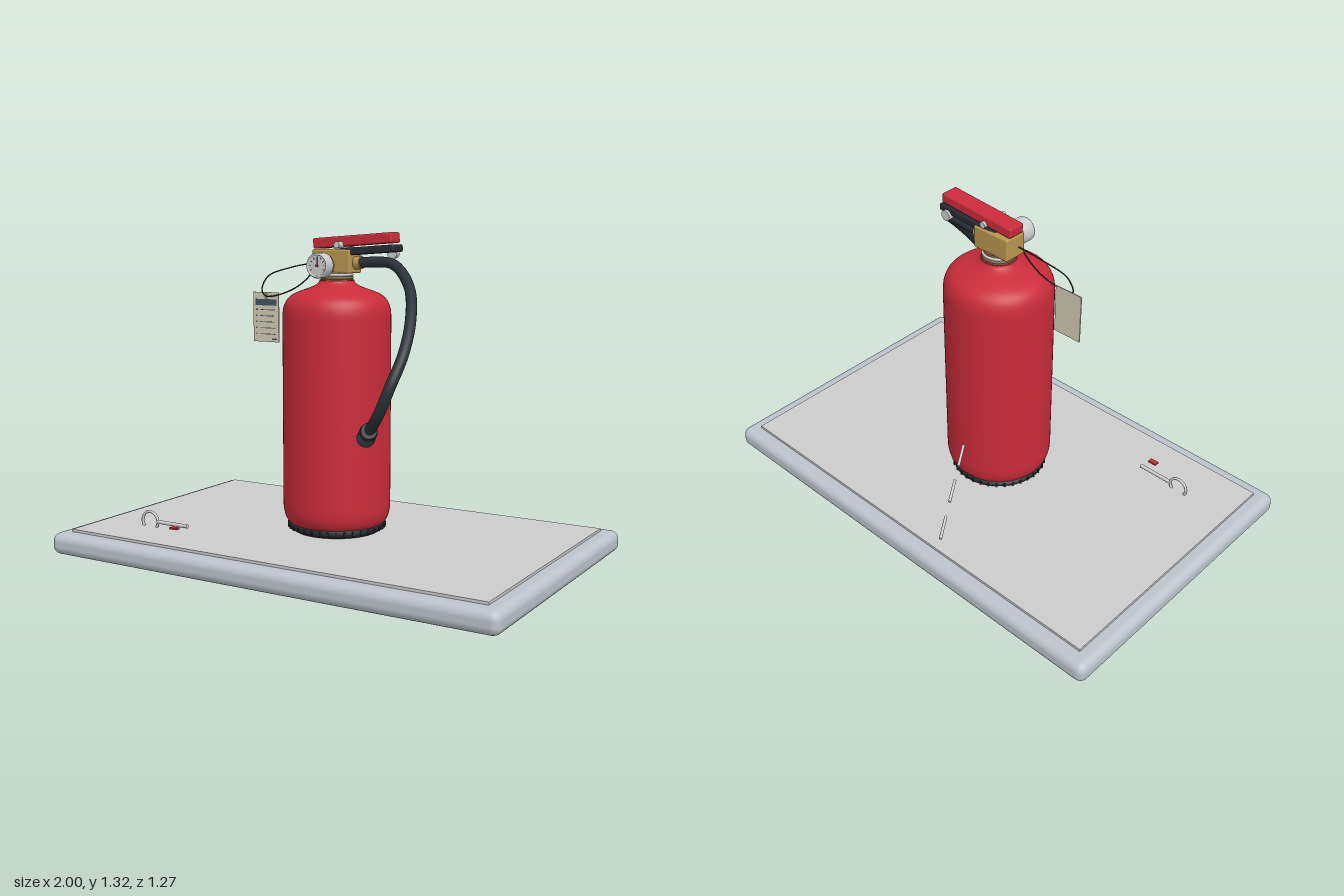
import * as THREE from 'three';
import { RoundedBoxGeometry } from 'three/addons/geometries/RoundedBoxGeometry.js';

const mat = (color) => new THREE.MeshStandardMaterial({ color });
const red = mat(0xc92c3a), black = mat(0x262b30), rubber = mat(0x2b3238), slate = mat(0x44525e);
const brass = mat(0xb8964f), darkBrass = mat(0x8a6a4a), steel = mat(0xcccccc), white = mat(0xeeeeee);
const stone = mat(0xbcc3cb), panelGrey = mat(0xc6caca), paper = mat(0xd3ccb4), seal = mat(0xc03038);
const V = (x, y, z) => new THREE.Vector3(x, y, z);

export function createModel() {
  const model = new THREE.Group();

  const add = (name, geo, material, x = 0, y = 0, z = 0, parent = model) => {
    const m = new THREE.Mesh(geo, material);
    m.name = name;
    m.position.set(x, y, z);
    parent.add(m);
    return m;
  };
  const box = (w, h, d, r) => r ? new RoundedBoxGeometry(w, h, d, 3, r) : new THREE.BoxGeometry(w, h, d);
  const lathe = (pts, n = 64) => new THREE.LatheGeometry(pts.map(([r, y]) => new THREE.Vector2(r, y)), n);
  const tube = (pts, r, n = 64, sides = 16) =>
    new THREE.TubeGeometry(new THREE.CatmullRomCurve3(pts.map((p) => V(...p))), n, r, sides);
  // Cylinder running between two points
  const rod = (name, a, b, ra, rb, material, parent = model) => {
    const dir = b.clone().sub(a);
    const m = add(name, new THREE.CylinderGeometry(rb, ra, dir.length(), 24), material, 0, 0, 0, parent);
    m.position.copy(a).add(b).multiplyScalar(0.5);
    m.quaternion.setFromUnitVectors(V(0, 1, 0), dir.normalize());
    return m;
  };

  // Plinth with inset top panel
  add('plinth', box(2, 0.09, 1.27, 0.035), stone, 0, 0.045, 0);
  add('plinthPanel', box(1.87, 0.02, 1.14), panelGrey, 0, 0.091, 0);

  // Ribbed foot ring
  add('footRing', lathe([[0, 0.1], [0.175, 0.104], [0.198, 0.118], [0.2, 0.14], [0.17, 0.145]]), black);
  const ribs = new THREE.Group();
  ribs.name = 'footRibs';
  model.add(ribs);
  for (let i = 0; i < 36; i++) {
    const a = (i / 36) * Math.PI * 2;
    add('footRib', box(0.008, 0.018, 0.008), black, 0.199 * Math.sin(a), 0.127, 0.199 * Math.cos(a), ribs).rotation.y = a;
  }

  // Tank: rounded lower edge, straight wall, domed shoulder and neck
  const outline = new THREE.Path();
  outline.moveTo(0.001, 0.125);
  outline.lineTo(0.18, 0.13);
  outline.bezierCurveTo(0.205, 0.14, 0.22, 0.17, 0.22, 0.22);
  outline.lineTo(0.22, 0.98);
  outline.bezierCurveTo(0.22, 1.065, 0.175, 1.075, 0.13, 1.092);
  outline.bezierCurveTo(0.09, 1.105, 0.07, 1.115, 0.07, 1.13);
  outline.lineTo(0.001, 1.13);
  add('tank', new THREE.LatheGeometry(outline.getPoints(14), 64), red);

  // Threaded neck collar
  add('neck', new THREE.CylinderGeometry(0.06, 0.06, 0.05, 40), darkBrass, 0, 1.14, 0);
  for (let i = 0; i < 3; i++) {
    const ring = add('neckThread', new THREE.TorusGeometry(0.062, 0.006, 8, 40), i < 2 ? darkBrass : steel, 0, 1.127 + i * 0.012, 0);
    ring.rotation.x = Math.PI / 2;
  }

  // Valve block
  add('valveBody', box(0.175, 0.095, 0.1, 0.008), brass, 0, 1.205, 0);
  rod('hoseFitting', V(0.08, 1.198, 0), V(0.115, 1.2, 0), 0.026, 0.026, brass);

  // Levers, tilted up toward the tip
  const lever = add('upperLever', box(0.36, 0.042, 0.076, 0.008), red, 0.088, 1.287, 0);
  const grip = add('lowerLever', box(0.3, 0.03, 0.084, 0.008), black, 0.13, 1.248, 0);
  lever.rotation.z = grip.rotation.z = 0.07;
  rod('pivotPin', V(0.04, 1.27, -0.05), V(0.04, 1.27, 0.07), 0.013, 0.013, steel);
  rod('leverStud', V(0.235, 1.238, -0.053), V(0.235, 1.238, -0.03), 0.022, 0.022, steel);

  // Pressure gauge on a short stem
  const gauge = new THREE.Group();
  gauge.name = 'gauge';
  gauge.position.set(0, 1.19, 0);
  model.add(gauge);
  rod('gaugeStem', V(0, 0, 0.04), V(0, 0, 0.1), 0.016, 0.016, brass, gauge);
  const cup = add('gaugeCase', lathe([[0, 0.09], [0.043, 0.09], [0.045, 0.107], [0.05, 0.11], [0.05, 0.148],
    [0.047, 0.154], [0.041, 0.154], [0.04, 0.148], [0, 0.148]], 48), steel, 0, 0, 0, gauge);
  cup.rotation.x = Math.PI / 2;
  add('gaugeFace', new THREE.CircleGeometry(0.04, 40), white, 0, 0, 0.149, gauge);
  for (let i = 0; i < 9; i++) {
    const a = (i / 8 - 0.5) * 4.2;
    const tick = add('gaugeTick', box(0.002, 0.008, 0.002), i > 6 ? red : black, 0.032 * Math.sin(a), 0.032 * Math.cos(a), 0.15, gauge);
    tick.rotation.z = -a;
  }
  add('gaugeNeedle', box(0.003, 0.034, 0.003), black, 0, 0.012, 0.152, gauge);
  rod('needleHub', V(0, 0, 0.149), V(0, 0, 0.157), 0.005, 0.005, red, gauge);

  // Hose curling forward, ending in the nozzle
  add('hose', tube([[0.09, 1.198, 0], [0.17, 1.203, 0], [0.26, 1.197, 0.012], [0.385, 1.115, 0.11], [0.46, 0.995, 0.24],
    [0.485, 0.88, 0.345], [0.472, 0.775, 0.415], [0.43, 0.675, 0.42], [0.365, 0.595, 0.38]], 0.021, 96), rubber);
  const tail = V(0.375, 0.603, 0.395), tip = V(0.27, 0.542, 0.235);
  rod('nozzleCollar', tail, tail.clone().lerp(tip, 0.15), 0.03, 0.034, rubber);
  rod('nozzle', tail.clone().lerp(tip, 0.08), tip, 0.033, 0.036, slate);
  rod('nozzleMouth', tail.clone().lerp(tip, 0.9), tail.clone().lerp(tip, 1.005), 0.025, 0.025, black);

  // Discharge line drawn as separate dashes
  const step = V(-0.08, -0.0545, -0.1325);
  for (let i = 0; i < 6; i++) {
    const c = V(0.18, 0.5, 0.107).addScaledVector(step, i);
    rod('sprayDash', c.clone().addScaledVector(step, -0.3), c.clone().addScaledVector(step, 0.3), 0.006, 0.006, steel);
  }

  // Inspection tag with printed bars
  const tag = new THREE.Group();
  tag.name = 'tag';
  tag.position.set(-0.304, 0.972, 0.06);
  model.add(tag);
  add('tagCard', box(0.125, 0.205, 0.005), paper, 0, 0, 0, tag);
  add('tagHeader', box(0.105, 0.026, 0.003), slate, 0, 0.061, 0.002, tag);
  for (let i = 0; i < 5; i++) {
    add('tagLine', box(0.07, 0.003, 0.002), slate, 0.008, 0.03 - i * 0.025, 0.003, tag);
    add('tagBullet', box(0.006, 0.006, 0.002), slate, -0.046, 0.03 - i * 0.025, 0.003, tag);
  }
  add('tagMark', box(0.025, 0.006, 0.002), slate, 0.042, -0.09, 0.003, tag);
  add('tagEyelet', new THREE.TorusGeometry(0.008, 0.003, 8, 20), steel, 0, 0.088, 0.003, tag);

  // Looped string holding the tag
  add('tagString', tube([[-0.08, 1.2, 0.015], [-0.2, 1.177, 0.03], [-0.3, 1.14, 0.05], [-0.325, 1.085, 0.06], [-0.304, 1.06, 0.066],
    [-0.255, 1.062, 0.066], [-0.175, 1.09, 0.055], [-0.115, 1.13, 0.05], [-0.08, 1.17, 0.045]], 0.0028, 80, 6), black);

  // Pulled safety pin and broken seal lying on the plinth
  add('pinRing', new THREE.TorusGeometry(0.04, 0.006, 10, 40), steel, -0.692, 0.123, 0.363);
  rod('pinShaft', V(-0.652, 0.124, 0.363), V(-0.497, 0.124, 0.363), 0.008, 0.008, steel);
  add('brokenSeal', box(0.038, 0.007, 0.022), seal, -0.522, 0.125, 0.416);

  return model;
}
